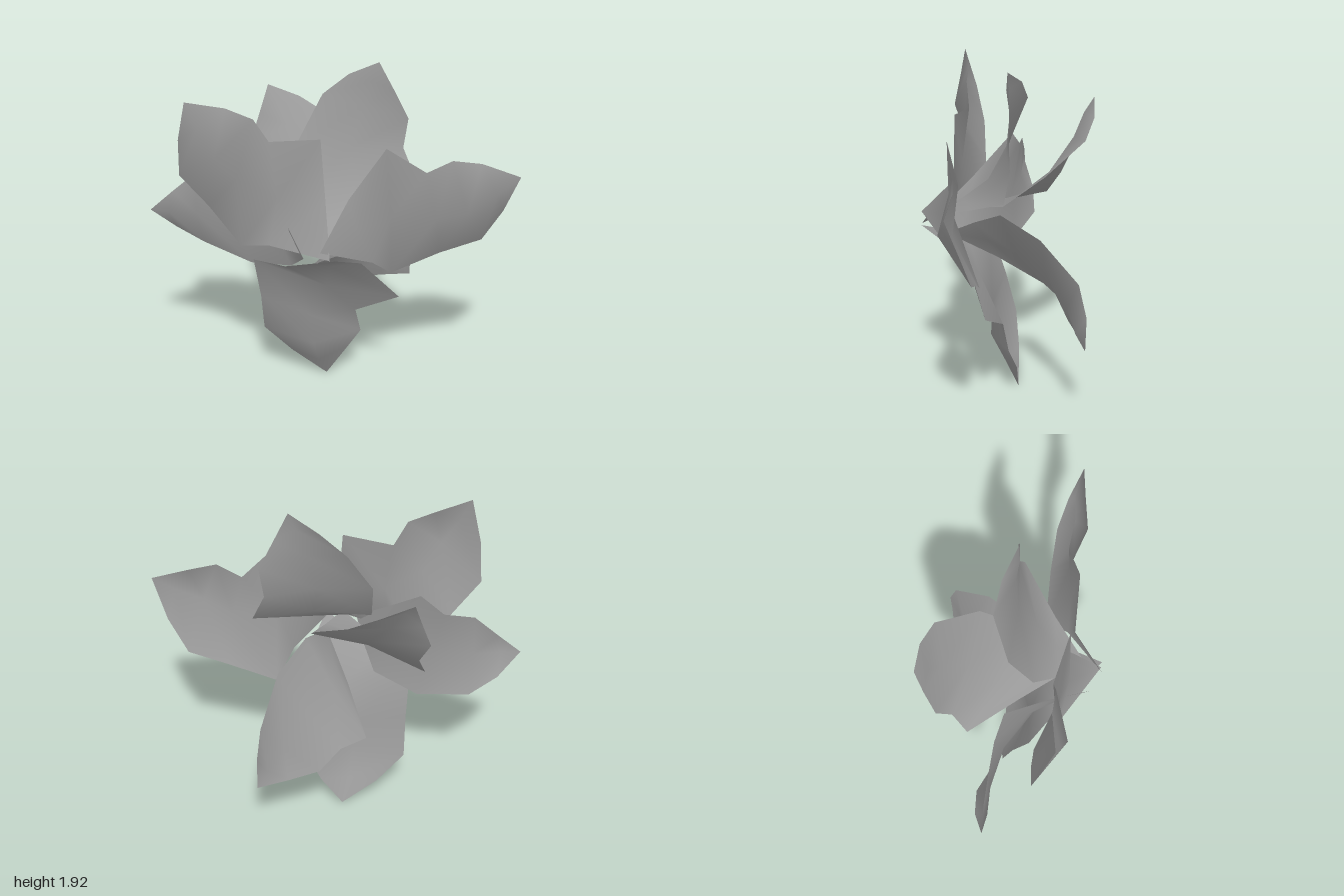
import * as THREE from 'three';

// Petal cross-sections from base to tip: plain edge, midrib, notched edge,
// each as [across, along, outward].
const FRONT = {
  length: 1.125,
  sections: [
    [[-0.265, 0.25, -0.12], [-0.03, 0.23, -0.125], [0.14, 0.24, -0.165]],
    [[-0.44, 0.335, -0.21], [-0.04, 0.42, -0.13], [0.365, 0.51, -0.147]],
    [[-0.395, 0.618, -0.165], [-0.12, 0.645, -0.08], [0.135, 0.675, -0.15]],
    [[-0.37, 0.853, -0.11], [-0.09, 0.803, 0.01], [0.174, 0.82, -0.11]],
    [[-0.205, 1.0, -0.06], [-0.05, 0.98, 0.005], [0.11, 0.96, -0.083]],
  ],
};

// The rear petals are shorter and bend further back
const BACK = {
  length: 1.0,
  sections: [
    [[-0.12, 0.1, -0.1], [0.02, 0.18, -0.13], [0.167, 0.253, -0.155]],
    [[-0.236, 0.204, -0.18], [0.05, 0.34, -0.19], [0.335, 0.506, -0.283]],
    [[-0.31, 0.475, -0.185], [-0.03, 0.55, -0.185], [0.235, 0.629, -0.237]],
    [[-0.25, 0.775, -0.16], [-0.02, 0.77, -0.11], [0.22, 0.778, -0.16]],
    [[-0.14, 0.908, -0.09], [-0.01, 0.9, -0.035], [0.107, 0.895, -0.083]],
  ],
};

// Placement of each petal: base, tip, and its plain and notched shoulders.
const PETALS = [
  { name: 'upperLeftPetal', shape: FRONT, base: [0.02, 1.0, 0.45], tip: [-0.73, 1.8, 0.29], plain: [-0.79, 1.35, 0.19], notched: [-0.37, 1.7, 0.25] },
  { name: 'rightPetal', shape: FRONT, base: [-0.03, 1.05, 0.46], tip: [1.0, 1.39, 0.2], plain: [0.82, 0.97, 0.09], notched: [0.64, 1.47, 0.2] },
  { name: 'lowerPetal', shape: FRONT, base: [0.05, 1.0, 0.45], tip: [-0.03, 0.0, -0.08], plain: [-0.38, 0.31, -0.04], notched: [0.17, 0.31, -0.04] },
  { name: 'topPetal', shape: BACK, base: [-0.02, 1.04, 0.39], tip: [0.25, 1.92, -0.04], plain: [-0.06, 1.72, -0.13], notched: [0.4, 1.6, -0.06] },
  { name: 'leftPetal', shape: BACK, base: [-0.12, 0.99, 0.41], tip: [-1.0, 1.04, -0.04], plain: [-0.73, 0.8, -0.14], notched: [-0.73, 1.28, -0.05] },
  { name: 'backUpperPetal', shape: BACK, base: [-0.04, 1.1, 0.3], tip: [-0.38, 1.63, -0.47], plain: [-0.04, 1.47, -0.43], notched: [-0.48, 1.31, -0.36] },
  { name: 'backLowerPetal', shape: BACK, base: [0.05, 0.96, 0.31], tip: [0.44, 0.46, -0.47], plain: [0.415, 0.83, -0.43], notched: [0.1, 0.48, -0.36] },
];

const vec = (p) => new THREE.Vector3(...p);

function petalGeometry({ shape, base, tip, plain, notched }) {
  // Local axes: along the petal, across it, and out of its upper face
  const origin = vec(base);
  const along = vec(tip).sub(origin);
  const scale = along.length() / shape.length;
  along.normalize();
  const across = vec(notched).sub(vec(plain));
  across.addScaledVector(along, -across.dot(along)).normalize();
  const outward = new THREE.Vector3().crossVectors(across, along);
  const mirrored = outward.z < 0;
  if (mirrored) outward.negate();

  const points = [[0, 0, 0], ...shape.sections.flat(), [0, shape.length, 0]].map(([u, v, w]) =>
    origin.clone()
      .addScaledVector(across, u * scale)
      .addScaledVector(along, v * scale)
      .addScaledVector(outward, w * scale));

  // Fan at the base, quads between sections, fan at the tip
  const last = points.length - 1;
  const faces = [];
  const add = (a, b, c) => faces.push(...(mirrored ? [a, c, b] : [a, b, c]));
  for (let side = 0; side < 2; side++) {
    add(0, 2 + side, 1 + side);
    for (let row = 0; row < shape.sections.length - 1; row++) {
      const a = 1 + row * 3 + side;
      add(a, a + 1, a + 4);
      add(a, a + 4, a + 3);
    }
    add(last - 3 + side, last - 2 + side, last);
  }

  const geometry = new THREE.BufferGeometry().setFromPoints(points);
  geometry.setIndex(faces);
  geometry.computeVertexNormals();
  return geometry;
}

export function createModel() {
  const flower = new THREE.Group();
  flower.name = 'flower';
  const material = new THREE.MeshStandardMaterial({ color: 0x999999, side: THREE.DoubleSide });
  for (const petal of PETALS) {
    const mesh = new THREE.Mesh(petalGeometry(petal), material);
    mesh.name = petal.name;
    flower.add(mesh);
  }
  return flower;
}
